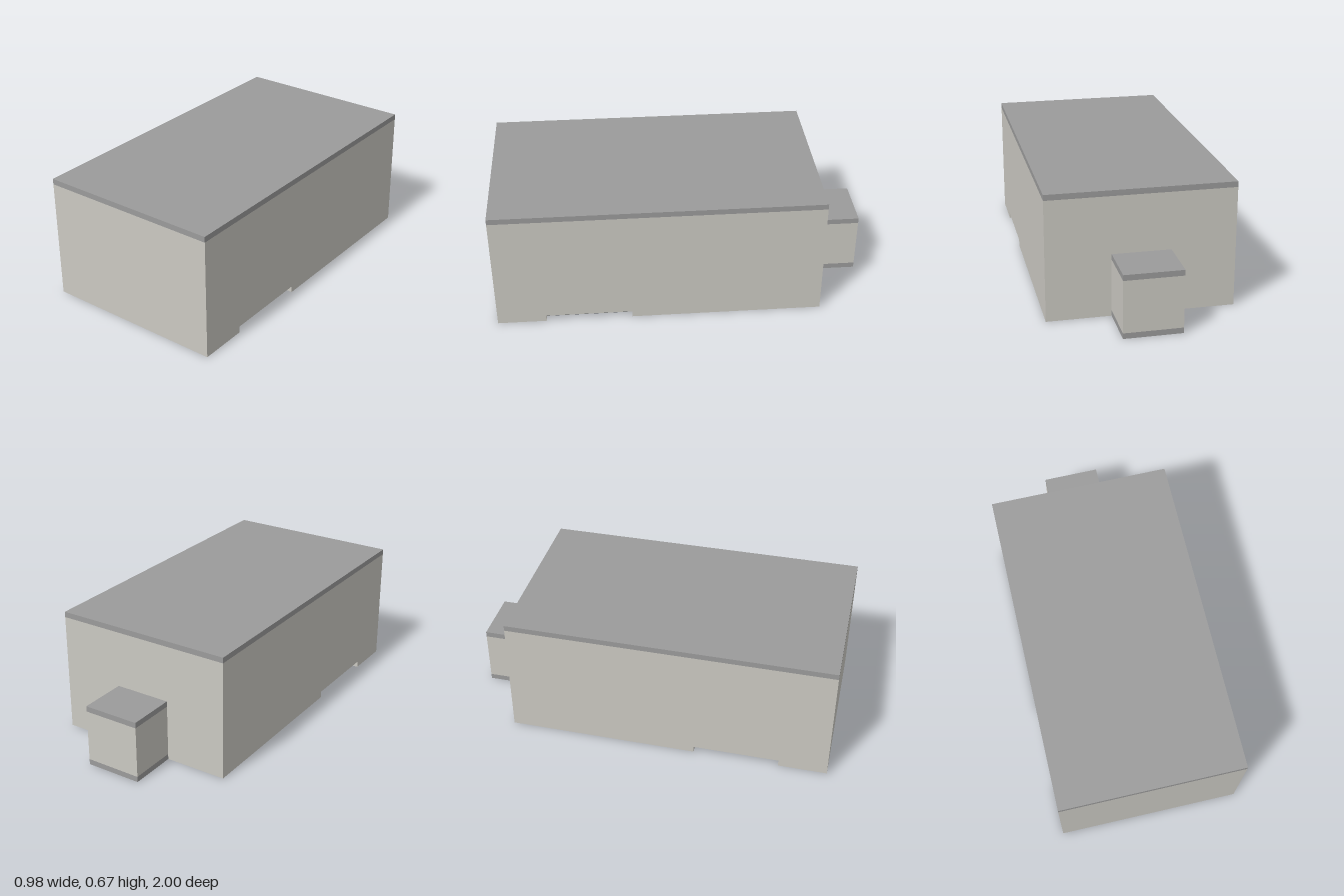
import * as THREE from 'three';

const material = (color) => new THREE.MeshStandardMaterial({ color, flatShading: true });
const wall = material(0xcbc9c2);
const trim = material(0x9b9b9b);
const dark = material(0x66696c);

// Box given by its minimum and maximum corners
function block(name, mat, [x0, y0, z0], [x1, y1, z1]) {
  const mesh = new THREE.Mesh(new THREE.BoxGeometry(x1 - x0, y1 - y0, z1 - z0), mat);
  mesh.position.set((x0 + x1) / 2, (y0 + y1) / 2, (z0 + z1) / 2);
  mesh.name = name;
  return mesh;
}

export function createModel() {
  const model = new THREE.Group();
  model.name = 'building';

  const halfWidth = 0.49, back = -0.74, front = 1;
  const eaves = 0.643, top = 0.673;
  const slotBack = 0.28, slotFront = 0.74, slotHeight = 0.035, inset = 0.04;

  // Main hall: side profile (z, y) with a shallow slot under it, extruded across x
  const profile = new THREE.Shape([
    [back, 0], [slotBack, 0], [slotBack, slotHeight], [slotFront, slotHeight],
    [slotFront, 0], [front, 0], [front, eaves], [back, eaves],
  ].map(([z, y]) => new THREE.Vector2(z, y)));
  const hallGeometry = new THREE.ExtrudeGeometry(profile, { depth: 2 * halfWidth, bevelEnabled: false });
  hallGeometry.translate(0, 0, -halfWidth).rotateY(-Math.PI / 2);
  const hall = new THREE.Mesh(hallGeometry, wall);
  hall.name = 'hallWalls';
  model.add(hall);

  // Flat roof
  model.add(block('hallRoof', trim, [-halfWidth, eaves, back], [halfWidth, top, front]));

  // Dark slab set back inside the slot
  model.add(block('slotSlab', dark,
    [-halfWidth + inset, 0, slotBack], [halfWidth - inset, slotHeight, slotFront]));

  // Small annex at the back: floor, walls and roof
  const annex = new THREE.Group();
  annex.name = 'annex';
  [['annexFloor', trim, 0, 0.03], ['annexWalls', wall, 0.03, 0.307], ['annexRoof', trim, 0.307, 0.337]]
    .forEach(([name, mat, y0, y1]) => annex.add(block(name, mat, [-0.153, y0, -1], [0.153, y1, back])));
  model.add(annex);

  return model;
}
